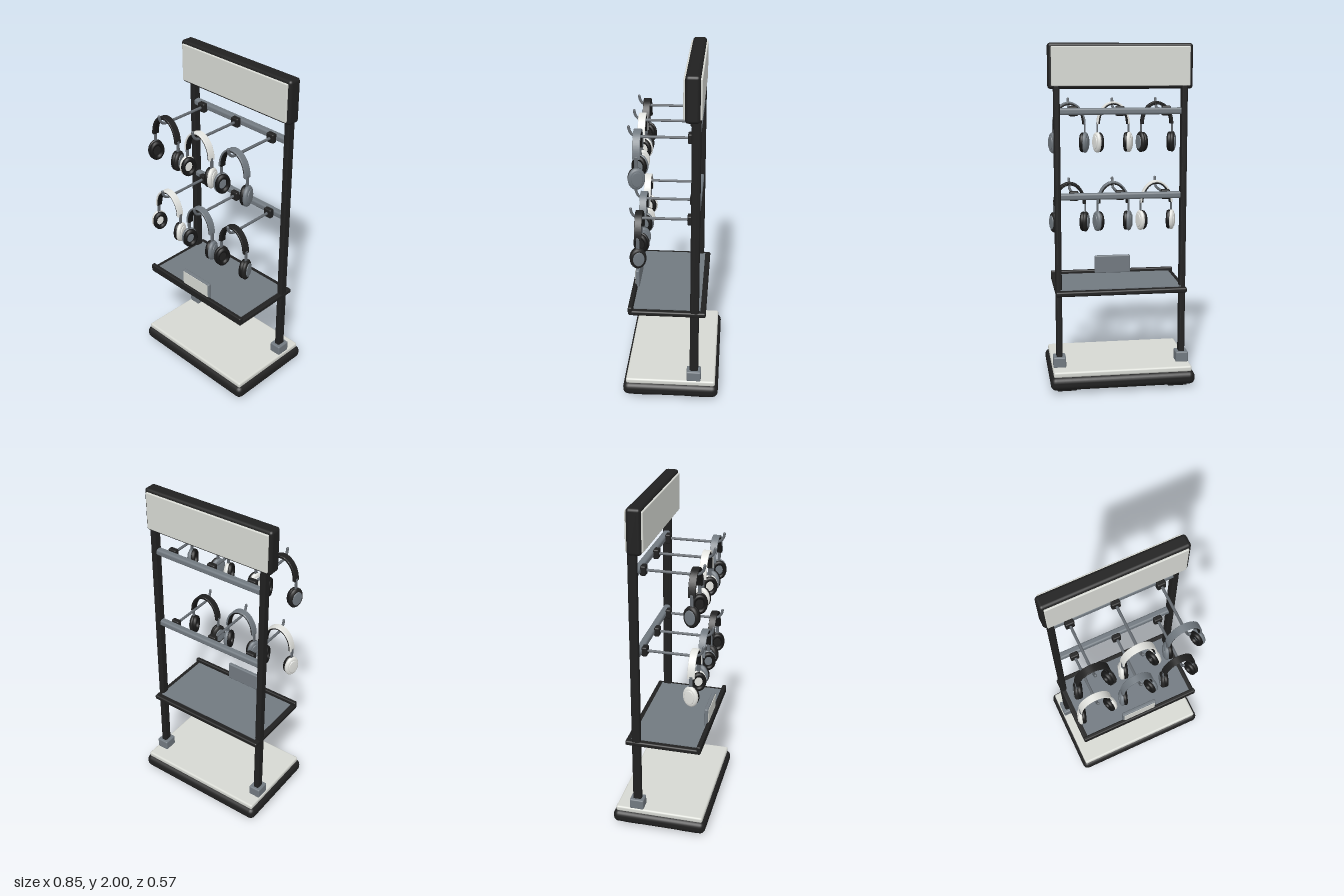
import * as THREE from 'three';
import { RoundedBoxGeometry } from 'three/addons/geometries/RoundedBoxGeometry.js';

const mat = (name, color) => {
  const m = new THREE.MeshStandardMaterial({ color });
  m.name = name;
  return m;
};

export function createModel() {
  const black = mat('matte black', 0x202020);
  const pad = mat('cushion black', 0x161616);
  const grey = mat('slate grey', 0x717980);
  const steel = mat('steel', 0x646a70);
  const white = mat('off white', 0xd6d8d2);
  const pearl = mat('pearl white', 0xe2e3df);

  const root = new THREE.Group();
  root.name = 'headphoneDisplayStand';

  const add = (parent, name, geometry, material, x = 0, y = 0, z = 0) => {
    const mesh = new THREE.Mesh(geometry, material);
    mesh.name = name;
    mesh.position.set(x, y, z);
    parent.add(mesh);
    return mesh;
  };
  // Rounded box given by its minimum and maximum on each axis
  const box = (name, material, x0, x1, y0, y1, z0, z1, r = 0.005, parent = root) =>
    add(parent, name, new RoundedBoxGeometry(x1 - x0, y1 - y0, z1 - z0, 3, r), material,
      (x0 + x1) / 2, (y0 + y1) / 2, (z0 + z1) / 2);

  // Base, deck and feet
  box('base', black, -0.425, 0.425, 0.02, 0.1, -0.285, 0.285, 0.033);
  box('deck', white, -0.407, 0.407, 0.095, 0.13, -0.267, 0.267, 0.012);
  for (const s of [-1, 1]) for (const z of [-0.175, 0.175])
    box('foot', black, s * 0.328 - 0.058, s * 0.328 + 0.058, 0, 0.03, z - 0.055, z + 0.055, 0.008);

  // Posts with their collars
  for (const s of [-1, 1]) {
    const x = s * 0.365;
    box('collar', grey, x - 0.037, x + 0.037, 0.125, 0.19, -0.182, -0.096, 0.008);
    box('post', black, x - 0.018, x + 0.018, 0.13, 1.77, -0.165, -0.114, 0.01);
  }

  // Header sign with a panel on each side
  box('signFrame', black, -0.412, 0.412, 1.745, 2, -0.16, -0.08, 0.018);
  box('signPanelFront', white, -0.394, 0.394, 1.762, 1.982, -0.085, -0.07, 0.005);
  box('signPanelBack', white, -0.394, 0.394, 1.762, 1.982, -0.17, -0.155, 0.005);

  // Shelf with mat, front lip and card
  box('shelf', black, -0.385, 0.385, 0.56, 0.59, -0.205, 0.245, 0.01);
  box('shelfLip', black, -0.385, 0.385, 0.565, 0.613, 0.221, 0.247, 0.008);
  add(root, 'shelfMat', new THREE.BoxGeometry(0.71, 0.006, 0.39), grey, 0, 0.591, 0.022);
  box('card', grey, -0.112, 0.112, 0.592, 0.705, 0.206, 0.23, 0.008);
  add(root, 'cardFace', new THREE.BoxGeometry(0.206, 0.09, 0.006), white, 0, 0.652, 0.23);

  // Shared headphone geometry, heights measured from the hook rod
  const arch = (a, b, t, depth) => {
    const s = new THREE.Shape();
    s.absellipse(0, 0, a, b, 0, Math.PI, false);
    s.lineTo(t - a, 0);
    s.absellipse(0, 0, a - t, b - t, Math.PI, 0, true);
    s.closePath();
    const g = new THREE.ExtrudeGeometry(s, {
      depth: depth - 0.004, curveSegments: 28, bevelSize: 0.002,
      bevelThickness: 0.002, bevelOffset: -0.002, bevelSegments: 1,
    });
    return g.translate(0, 0, 0.002 - depth / 2);
  };
  const bandGeo = arch(0.1, 0.135, 0.01, 0.042);
  const linerGeo = arch(0.091, 0.126, 0.01, 0.034);
  const lathe = (pts) => new THREE.LatheGeometry(pts.map((p) => new THREE.Vector2(...p)), 32);
  const shellGeo = lathe([[0, -0.008], [0.052, -0.008], [0.061, -0.004], [0.063, 0.002],
    [0.062, 0.008], [0.056, 0.015], [0.046, 0.018], [0, 0.018]]);
  const capGeo = lathe([[0.043, 0.014], [0.043, 0.02], [0.038, 0.023], [0, 0.023]]);
  const cushionGeo = new THREE.TorusGeometry(0.045, 0.015, 12, 32).rotateX(Math.PI / 2);
  const armGeo = new RoundedBoxGeometry(0.01, 0.09, 0.02, 2, 0.004);

  const headphones = (shell, cap) => {
    const g = new THREE.Group();
    g.name = 'headphones';
    add(g, 'headband', bandGeo, shell, 0, -0.095, 0);
    add(g, 'headbandLiner', linerGeo, pad, 0, -0.095, 0);
    for (const s of [-1, 1]) {
      add(g, 'sliderArm', armGeo, steel, s * 0.096, -0.125, 0);
      // Ear cups open slightly toward the front
      const ear = new THREE.Group();
      ear.name = 'earCup';
      ear.position.set(s * 0.095, -0.205, 0);
      ear.rotation.y = s * 0.32;
      g.add(ear);
      for (const [name, geo, m, off] of [['earShell', shellGeo, shell, 0],
        ['earCap', capGeo, cap, 0], ['earCushion', cushionGeo, pad, -0.013]]) {
        const part = add(ear, name, geo, m, s * off, 0, 0);
        part.rotation.z = -s * Math.PI / 2;
        part.scale.z = 0.76;
      }
    }
    return g;
  };

  // Hook: straight rod with an upturned tip
  const v = (y, z) => new THREE.Vector3(0, y, z);
  const path = new THREE.CurvePath();
  path.add(new THREE.LineCurve3(v(0, -0.12), v(0, 0.17)));
  path.add(new THREE.QuadraticBezierCurve3(v(0, 0.17), v(0, 0.225), v(0.055, 0.23)));
  const hookGeo = new THREE.TubeGeometry(path, 40, 0.008, 10);
  const tipGeo = new THREE.SphereGeometry(0.008, 10, 8);

  // Two rails, each with three hooks
  const styles = { black: [black, grey], white: [pearl, pearl], grey: [grey, grey] };
  const rows = [[1.62, ['black', 'white', 'grey']], [1.135, ['white', 'grey', 'black']]];
  for (const [y, order] of rows) {
    box('rail', grey, -0.36, 0.36, y - 0.019, y + 0.019, -0.158, -0.118, 0.012);
    order.forEach((style, i) => {
      const hook = new THREE.Group();
      hook.name = 'hookWithHeadphones';
      hook.position.set((i - 1) * 0.268, y, 0);
      root.add(hook);
      box('hookMount', black, -0.026, 0.026, -0.028, 0.028, -0.122, -0.09, 0.008, hook);
      add(hook, 'hookRod', hookGeo, steel);
      add(hook, 'hookTip', tipGeo, steel, 0, 0.055, 0.23);
      const set = headphones(...styles[style]);
      set.position.z = 0.182;
      hook.add(set);
    });
  }
  return root;
}
